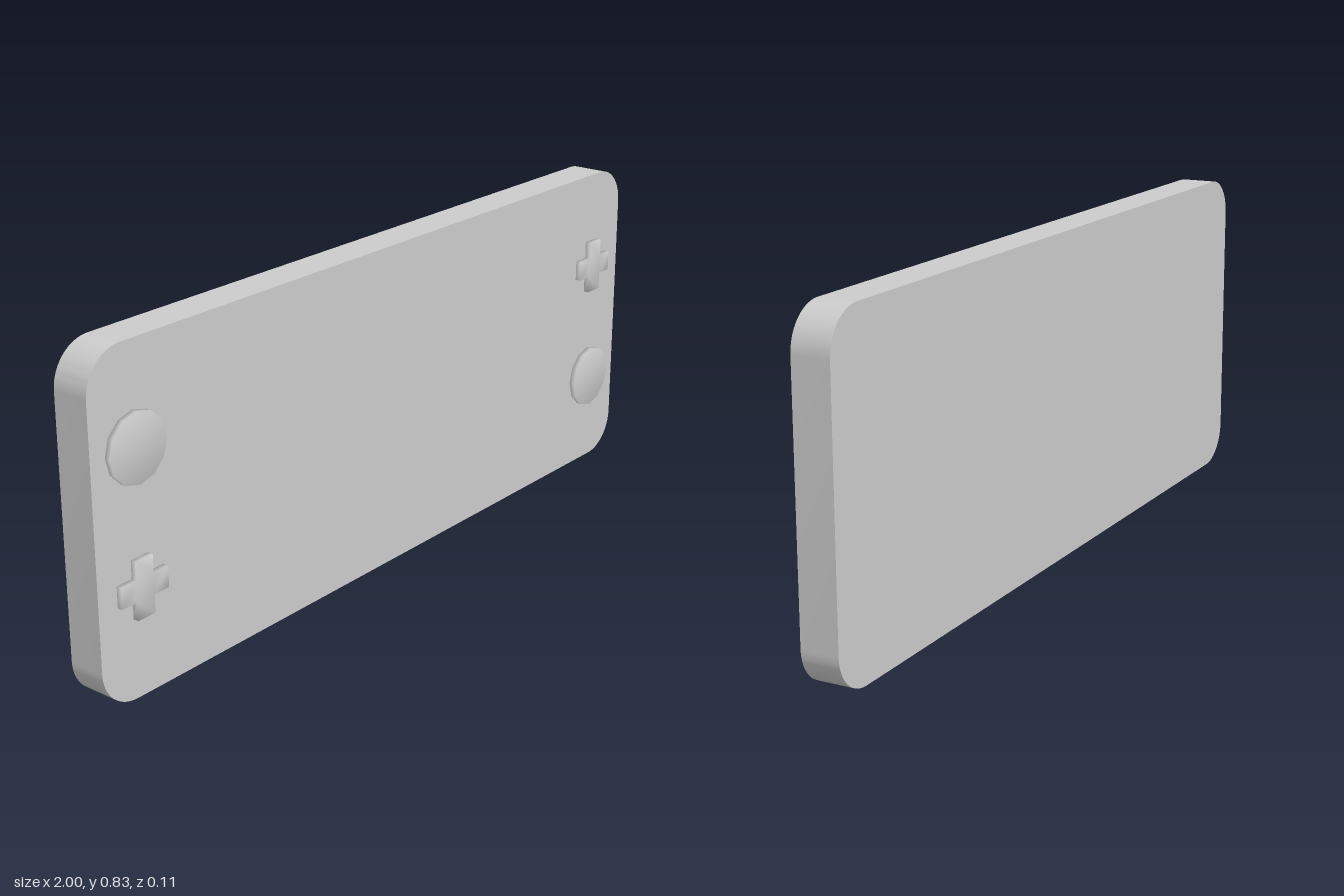
import * as THREE from 'three';
import { mergeVertices, toCreasedNormals } from 'three/addons/utils/BufferGeometryUtils.js';

const FRONT = 0.041, BACK = -0.053, RAISED = 0.055;
const material = new THREE.MeshStandardMaterial({ color: 0xcccccc });

// Share vertices across edges so small parts shade softly
function soften(geometry) {
  geometry.deleteAttribute('normal');
  geometry.deleteAttribute('uv');
  const merged = mergeVertices(geometry, 1e-4);
  merged.computeVertexNormals();
  return merged;
}

// Rounded slab whose long edges drop very slightly towards +x
function bodyGeometry() {
  const w = 1, h = 0.411, r = 0.1;
  const shape = new THREE.Shape();
  shape.absarc(w - r, h - r, r, 0, Math.PI / 2);
  shape.absarc(-w + r, h - r, r, Math.PI / 2, Math.PI);
  shape.absarc(-w + r, -h + r, r, Math.PI, Math.PI * 1.5);
  shape.absarc(w - r, -h + r, r, Math.PI * 1.5, Math.PI * 2);
  const geometry = new THREE.ExtrudeGeometry(shape, {
    depth: FRONT - BACK, bevelEnabled: false, curveSegments: 10,
  });
  const p = geometry.attributes.position;
  for (let i = 0; i < p.count; i++) p.setY(i, p.getY(i) - 0.004 * p.getX(i));
  geometry.translate(0, 0.415, BACK);
  return toCreasedNormals(geometry, 0.6);
}

// Plus-shaped button
function crossGeometry() {
  const a = 0.07, b = 0.026;
  const shape = new THREE.Shape([
    [b, a], [-b, a], [-b, b], [-a, b], [-a, -b], [-b, -b],
    [-b, -a], [b, -a], [b, -b], [a, -b], [a, b], [b, b],
  ].map(([x, y]) => new THREE.Vector2(x, y)));
  const geometry = new THREE.ExtrudeGeometry(shape, { depth: RAISED - FRONT + 0.003, bevelEnabled: false });
  return soften(geometry.translate(0, 0, FRONT - 0.003));
}

// Round thumb pad
function padGeometry() {
  const geometry = new THREE.CylinderGeometry(0.083, 0.083, RAISED - FRONT + 0.003, 12);
  geometry.rotateX(Math.PI / 2).translate(0, 0, (RAISED + FRONT - 0.003) / 2);
  return soften(geometry);
}

export function createModel() {
  const group = new THREE.Group();
  group.name = 'handheldConsole';
  const add = (name, geometry, x = 0, y = 0) => {
    const mesh = new THREE.Mesh(geometry, material);
    mesh.name = name;
    mesh.position.set(x, y, 0);
    group.add(mesh);
  };
  add('body', bodyGeometry());
  const pad = padGeometry(), cross = crossGeometry();
  add('rightThumbPad', pad, -0.875, 0.592);
  add('leftThumbPad', pad, 0.87, 0.245);
  add('rightCrossButton', cross, -0.875, 0.27);
  add('leftCrossButton', cross, 0.868, 0.568);
  return group;
}
